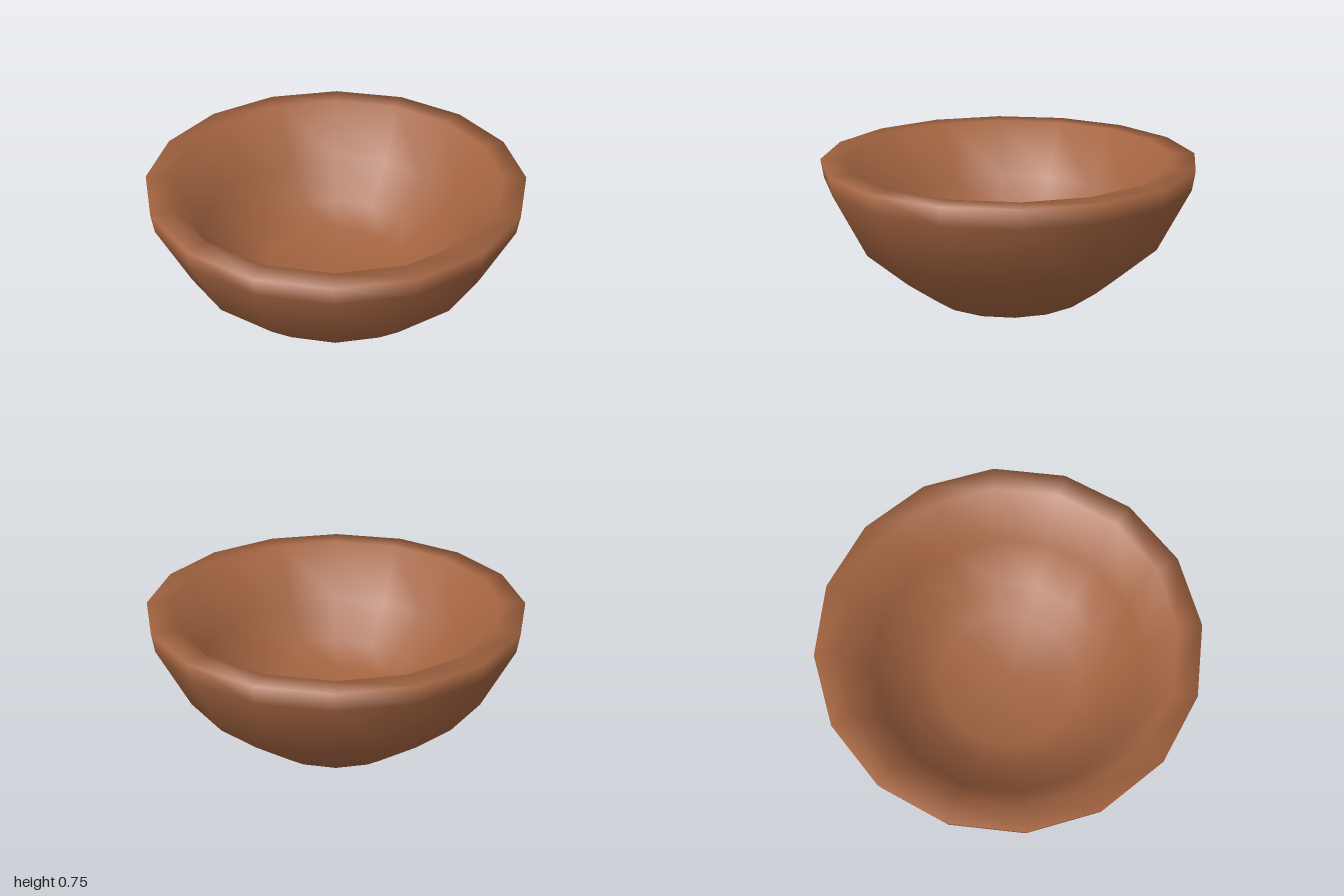
import * as THREE from 'three';

// Lathe whose normals average the two neighbouring bands equally
function smoothLathe(profile, sides) {
  const geometry = new THREE.LatheGeometry(profile, sides);
  const bands = profile.slice(1).map((p, i) =>
    new THREE.Vector2(p.y - profile[i].y, profile[i].x - p.x).normalize());
  const normals = profile.map((_, i) =>
    (bands[i - 1] ?? bands[i]).clone().add(bands[i] ?? bands[i - 1]).normalize());

  const attribute = geometry.attributes.normal;
  for (let i = 0; i < attribute.count; i++) {
    const n = normals[i % profile.length];
    const angle = Math.floor(i / profile.length) / sides * Math.PI * 2;
    attribute.setXYZ(i, n.x * Math.sin(angle), n.y, n.x * Math.cos(angle));
  }
  return geometry;
}

export function createModel() {
  const group = new THREE.Group();
  group.name = 'bowl';

  const clay = new THREE.MeshStandardMaterial({ color: 0xa26340 });
  clay.name = 'brown clay';

  // Closed wall profile: underside, outer wall, flat rim, inner wall, floor
  const profile = [
    [0, 0], [0.44, 0], [0.595, 0.115], [0.815, 0.31], [0.985, 0.65], [1, 0.75],
    [0.875, 0.75], [0.724, 0.448], [0.53, 0.272], [0.39, 0.172], [0, 0.172],
  ].map(([r, y]) => new THREE.Vector2(r, y));

  const bowl = new THREE.Mesh(smoothLathe(profile, 16), clay);
  bowl.name = 'bowlShell';
  group.add(bowl);
  return group;
}
